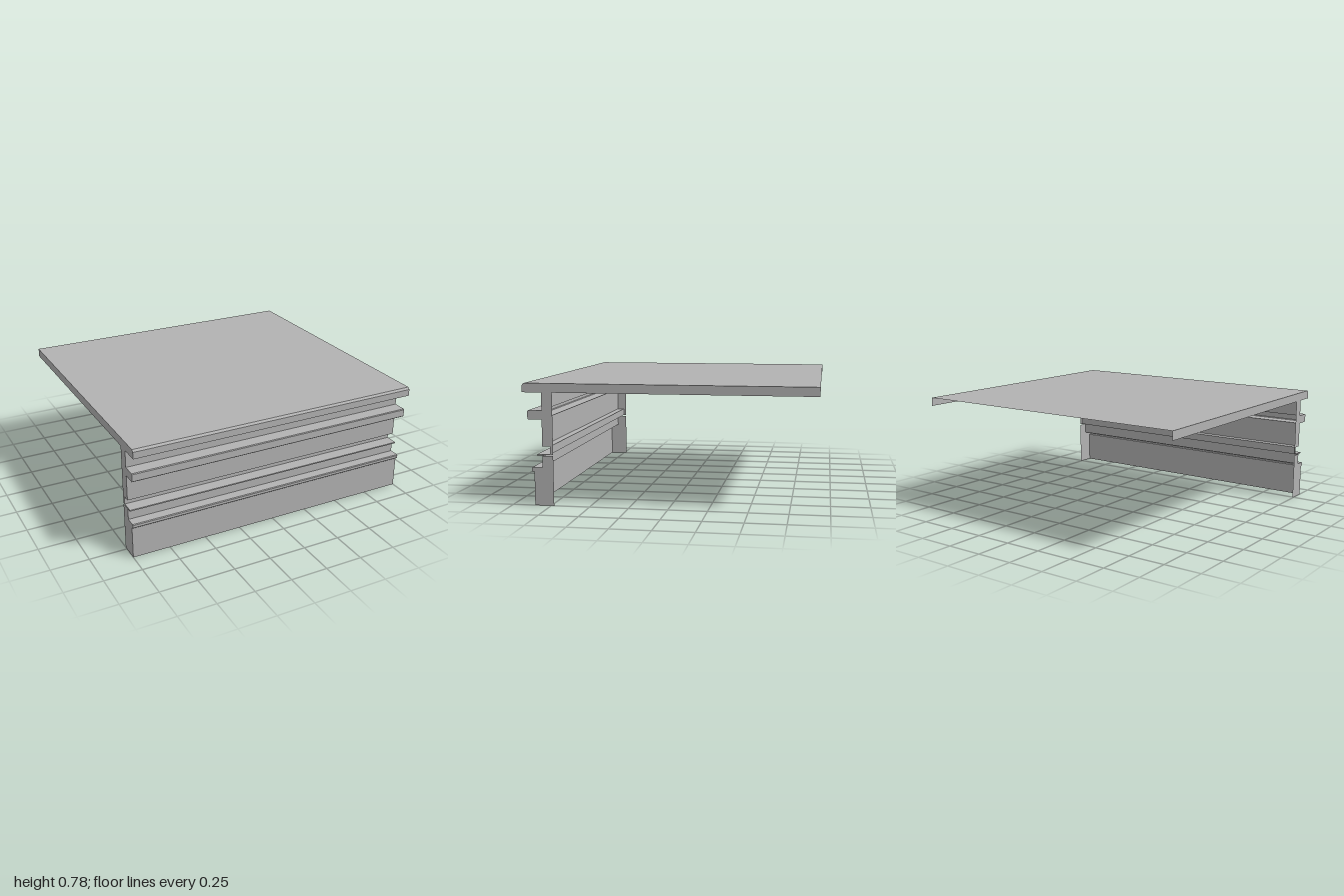
import * as THREE from 'three';

const grey = new THREE.MeshStandardMaterial({ color: 0xb2b2b2, side: THREE.DoubleSide });
grey.name = 'plain grey';

// Flat-faced skin swept along x over a [z, y] profile, open at the back
function skinGeometry(profile) {
  const v = [];
  for (let i = 0; i < profile.length - 1; i++) {
    const [z0, y0] = profile[i], [z1, y1] = profile[i + 1];
    v.push(-1, y0, z0, 1, y0, z0, 1, y1, z1);
    v.push(-1, y0, z0, 1, y1, z1, -1, y1, z1);
  }
  const g = new THREE.BufferGeometry();
  g.setAttribute('position', new THREE.Float32BufferAttribute(v, 3));
  g.computeVertexNormals();
  return g;
}

// Flat end plate on the side x = s
function capGeometry(outline, s) {
  const shape = new THREE.Shape(outline.map(([z, y]) => new THREE.Vector2(-s * z, y)));
  return new THREE.ShapeGeometry(shape).rotateY(s * Math.PI / 2).translate(s, 0, 0);
}

// One moulding section: skin plus both end plates, closed through the back points
function section(name, profile, back = []) {
  const group = new THREE.Group();
  group.name = name;
  const add = (part, geometry) => {
    const mesh = new THREE.Mesh(geometry, grey);
    mesh.name = part;
    group.add(mesh);
  };
  add(name + 'Skin', skinGeometry(profile));
  add(name + 'LeftEnd', capGeometry([...profile, ...back], 1));
  add(name + 'RightEnd', capGeometry([...profile, ...back], -1));
  return group;
}

// Points of a projecting band with small bevels on its front corners
const band = (zFrom, zOut, zTo, y0, y1, b) => [
  [zFrom, y0], [zOut - b, y0], [zOut, y0 + b], [zOut, y1 - b], [zOut - b, y1], [zTo, y1],
];

export function createModel() {
  const model = new THREE.Group();
  model.name = 'cornice';
  model.add(
    // Plinth with its lip
    section('base', [[0.855, 0], ...band(0.855, 0.872, 0.8, 0.218, 0.245, 0.005), [0.8, 0.32]],
      [[0.73, 0.32], [0.73, 0]]),
    // Thin drip ledge
    section('thinLedge', [[0.8, 0.32], [0.835, 0.32], [0.835, 0.328], [0.75, 0.328]]),
    // Wall with groove and projecting band
    section('wall', [[0.75, 0.328], [0.75, 0.38], [0.8, 0.38],
      ...band(0.8, 0.893, 0.8, 0.55, 0.607, 0.005), [0.8, 0.72]],
    [[0.73, 0.72], [0.73, 0.328]]),
    // Roof slab with chamfered front edge
    section('roof', [[0.8, 0.72], [0.925, 0.72], [0.925, 0.765], [0.912, 0.778], [-0.925, 0.778]],
      [[-0.925, 0.72]]),
  );
  return model;
}
